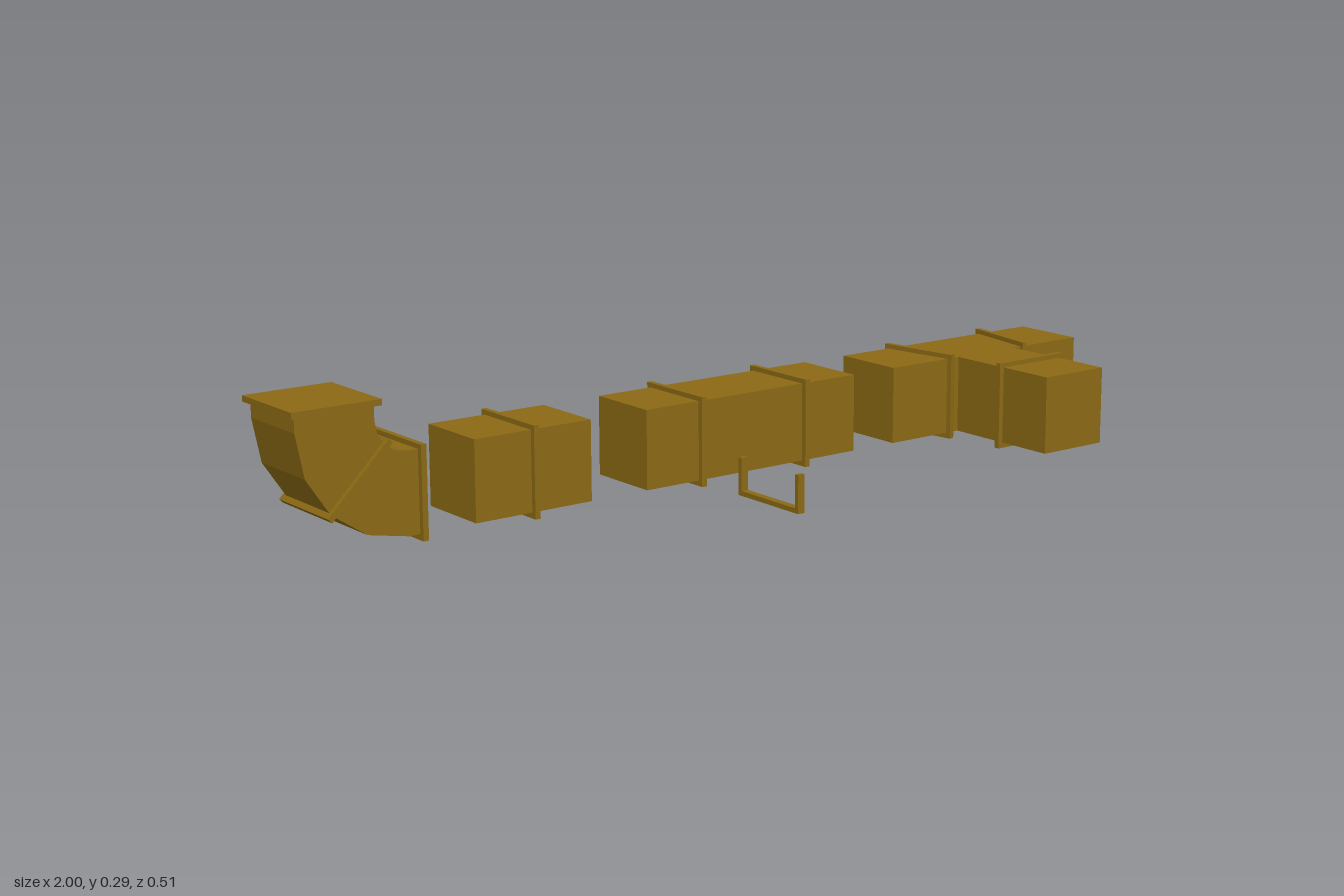
import * as THREE from 'three';

const DUCT = 0.166;     // square duct side
const FLANGE = 0.188;   // joint collar side
const THICK = 0.012;    // collar thickness
const CY = 0.095;       // duct axis height
const CZ = -0.159;      // duct axis depth

export function createModel() {
  const root = new THREE.Group();
  root.name = 'ductKit';
  const material = new THREE.MeshStandardMaterial({ color: 0x8b6914, flatShading: true });

  function add(parent, name, geometry, x = 0, y = 0, z = 0) {
    const mesh = new THREE.Mesh(geometry, material);
    mesh.name = name;
    mesh.position.set(x, y, z);
    parent.add(mesh);
    return mesh;
  }
  const box = (parent, name, size, pos) => add(parent, name, new THREE.BoxGeometry(...size), ...pos);
  const section = (name) => {
    const group = new THREE.Group();
    group.name = name;
    root.add(group);
    return group;
  };

  // Straight run along x with collars across it; each collar is [x, tilt]
  function run(parent, x, length, collars) {
    box(parent, 'duct', [length, DUCT, DUCT], [x, CY, CZ]);
    for (const [cx, tilt] of collars) {
      box(parent, 'collar', [THICK, FLANGE, FLANGE], [cx, 0.094, CZ]).rotation.y = tilt;
    }
  }

  run(section('shortDuct'), -0.473, 0.27, [[-0.473, 0]]);
  run(section('longDuct'), 0.07, 0.545, [[-0.066, 0], [0.206, 0]]);

  // T-piece: slanted collars on the main run, and a branch to the front
  const tee = section('teeDuct');
  const teeX = 0.727;
  run(tee, teeX, 0.546, [[teeX - 0.124, 0.16], [teeX + 0.124, -0.16]]);
  box(tee, 'branch', [DUCT, DUCT, 0.198 - CZ], [teeX, CY, (0.198 + CZ) / 2]);
  box(tee, 'branchCollar', [FLANGE, FLANGE, THICK], [teeX, 0.094, 0.061]);

  // Elbow: faceted quarter bend with short straight ends
  const elbow = section('elbowDuct');
  const cx = -0.756, cy = 0.245, inner = 0.067, outer = inner + DUCT;
  const endX = -0.722, endY = 0.285, steps = 4;
  const profile = [];
  const arc = (r, i) => {
    const a = Math.PI + (i / steps) * Math.PI / 2;
    profile.push(new THREE.Vector2(cx + r * Math.cos(a), cy + r * Math.sin(a)));
  };
  profile.push(new THREE.Vector2(cx - outer, endY));
  for (let i = 0; i <= steps; i++) arc(outer, i);
  profile.push(new THREE.Vector2(endX, cy - outer), new THREE.Vector2(endX, cy - inner));
  for (let i = steps; i >= 0; i--) arc(inner, i);
  profile.push(new THREE.Vector2(cx - inner, endY));
  add(elbow, 'bend', new THREE.ExtrudeGeometry(new THREE.Shape(profile),
    { depth: DUCT, bevelEnabled: false }), 0, 0, CZ - DUCT / 2);
  box(elbow, 'topCollar', [FLANGE, THICK, FLANGE], [-0.906, 0.281, CZ]);
  box(elbow, 'endCollar', [THICK, FLANGE, FLANGE], [-0.726, 0.094, CZ]);
  const mid = (inner + outer) / 2 * Math.SQRT1_2;
  box(elbow, 'middleCollar', [FLANGE, THICK, FLANGE], [cx - mid, cy - mid, CZ])
    .rotation.z = Math.PI / 4;

  // U-shaped hanger bracket lying in front
  const bracket = section('bracket');
  const bx = -0.072, w = 0.016, t = 0.01, z0 = 0.066, z1 = 0.254;
  box(bracket, 'bracketBase', [w, t, z1 - z0], [bx, 0.017, (z0 + z1) / 2]);
  for (const z of [z0 + t / 2, z1 - t / 2]) {
    box(bracket, 'bracketArm', [w, 0.078, t], [bx, 0.051, z]);
  }
  return root;
}
